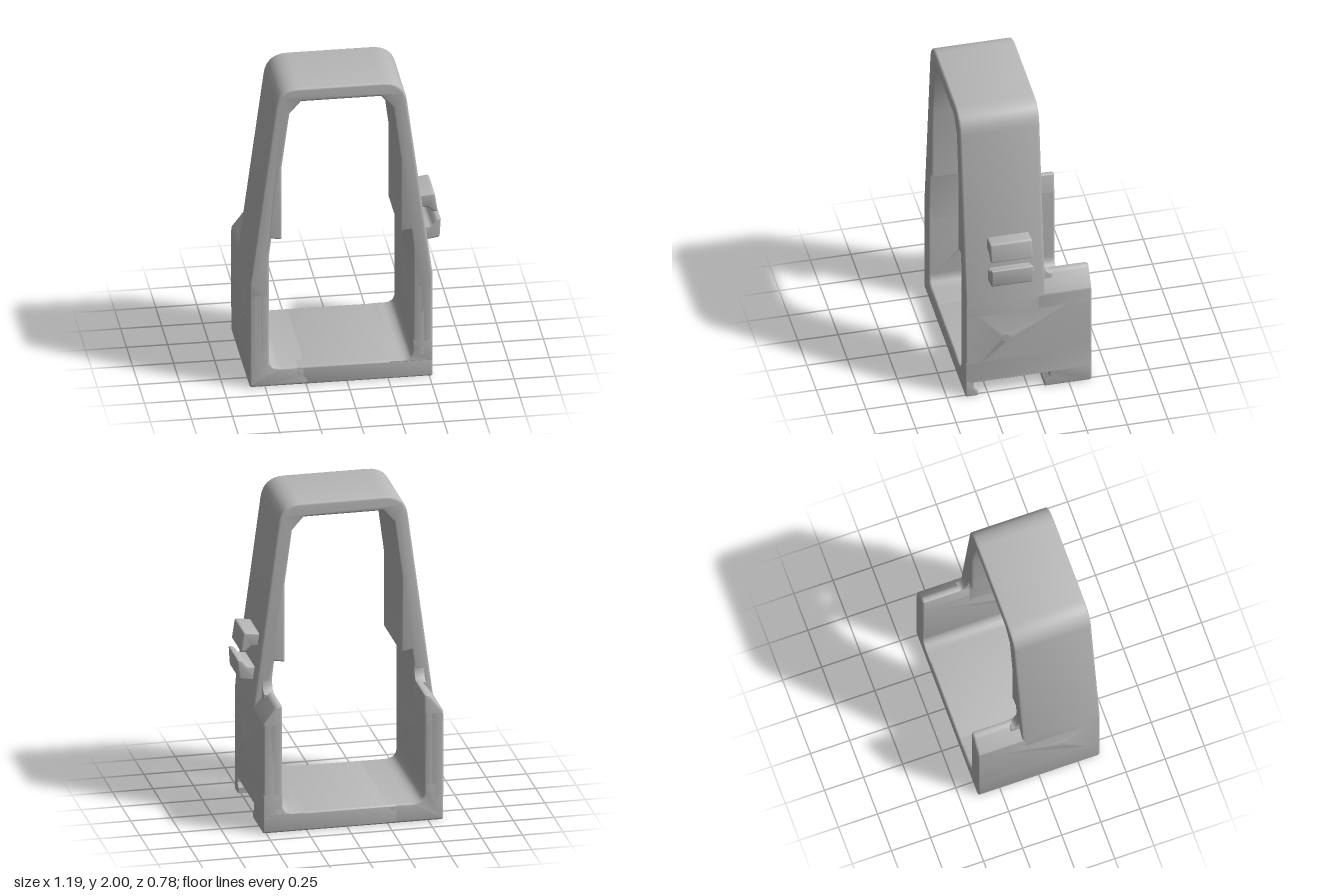
import * as THREE from 'three';
import { toCreasedNormals } from 'three/addons/utils/BufferGeometryUtils.js';

// Path through [a, b, radius] corners; a radius rounds that corner.
function trace(path, pts) {
  const n = pts.length;
  const toward = (p, q, r) => {
    const d = Math.hypot(q[0] - p[0], q[1] - p[1]);
    const t = Math.min(r / d, 0.49);
    return [p[0] + (q[0] - p[0]) * t, p[1] + (q[1] - p[1]) * t];
  };
  pts.forEach((p, i) => {
    const r = p[2] || 0;
    const start = r ? toward(p, pts[(i + n - 1) % n], r) : p;
    if (i === 0) path.moveTo(start[0], start[1]);
    else path.lineTo(start[0], start[1]);
    if (r) {
      const end = toward(p, pts[(i + 1) % n], r);
      path.quadraticCurveTo(p[0], p[1], end[0], end[1]);
    }
  });
  path.closePath();
  return path;
}

// Teardrop outline in (z, y), with its point toward the back.
function teardrop(r) {
  const pts = [];
  for (let i = 0; i <= 18; i++) {
    const a = -0.72 * Math.PI + (i / 18) * 1.44 * Math.PI;
    pts.push([0.14 + r * Math.cos(a), 0.41 + r * Math.sin(a)]);
  }
  pts.push([0.14 - r * 1.4, 0.41]);
  return pts;
}

export function createModel() {
  const group = new THREE.Group();
  group.position.x = -0.0375;
  const model = new THREE.Group();
  model.add(group);
  const grey = new THREE.MeshStandardMaterial({ color: 0xb8b8b8 });
  grey.name = 'grey plastic';

  // Soft-edged slab from a to b; outline is (x, y) along z, or (z, y) along x.
  function slab(name, pts, axis, a, b, bevel = 0.014, hole = null) {
    const map = (list) => (axis === 'x' ? list.map(([z, y, r]) => [-z, y, r]) : list);
    const shape = trace(new THREE.Shape(), map(pts));
    if (hole) shape.holes.push(trace(new THREE.Path(), map(hole)));
    let geo = new THREE.ExtrudeGeometry(shape, {
      depth: b - a - 2 * bevel, curveSegments: 8, bevelEnabled: true,
      bevelSize: bevel, bevelThickness: bevel, bevelOffset: -bevel, bevelSegments: 3,
    });
    geo.translate(0, 0, a + bevel);
    if (axis === 'x') geo.rotateY(Math.PI / 2);
    geo = toCreasedNormals(geo, 0.6);
    const mesh = new THREE.Mesh(geo, grey);
    mesh.name = name;
    group.add(mesh);
  }

  // Tapered upper arch, mirrored from its left half
  const half = [
    [0.4375, 0.6], [0.4375, 0.87], [0.4225, 0.995], [0.36, 0.985], [0.36, 1.47],
    [0.313, 1.83], [0.243, 1.91],
  ];
  const outer = [[0.385, 2, 0.13], [0.557, 0.7], [0.557, 0.6]];
  const flip = (pts) => pts.map(([x, y, r]) => [-x, y, r]);
  slab('upperArch', [
    ...half, ...flip(half).reverse(), ...flip(outer).reverse(), ...outer,
  ], 'z', -0.105, 0.39);

  for (const s of [1, -1]) {
    const side = s > 0 ? 'left' : 'right';
    const span = (a, b) => (s > 0 ? [a, b] : [-b, -a]);

    // Side wall in two layers, giving a recessed through hole
    const wall = [[-0.39, 0.15], [0.39, 0.15], [0.39, 0.69], [-0.39, 0.69]];
    slab(side + 'WallOuter', wall, 'x', ...span(0.477, 0.557), 0.012, teardrop(0.036));
    slab(side + 'WallInner', wall, 'x', ...span(0.4375, 0.517), 0.012, teardrop(0.02));

    // Low rear shoulder with a sloped outer face
    slab(side + 'RearShoulder', [
      [0.4375, 0.6], [0.557, 0.6], [0.557, 0.7, 0.01], [0.472, 0.813, 0.02], [0.4375, 0.813, 0.01],
    ].map(([x, y, r]) => [s * x, y, r]), 'z', -0.39, -0.05);

    // Curved blend between the shoulder and the arch
    const blend = [[-0.06, 0.76], [-0.16, 0.76], [-0.16, 0.805]];
    for (let i = 0; i <= 6; i++) {
      const a = (i / 6) * Math.PI / 2;
      blend.push([-0.155 + 0.052 * Math.sin(a), 0.9 - 0.09 * Math.cos(a)]);
    }
    blend.push([-0.06, 0.9]);
    slab(side + 'ShoulderBlend', blend, 'x', ...span(0.438, 0.5), 0.003);
  }

  // Base: solid half with the stepped end of the bottom slot
  slab('baseSolidEnd', [
    [-0.557, 0, 0.02], [-0.19, 0], [-0.19, 0.035], [-0.215, 0.065], [-0.215, 0.12],
    [-0.4375, 0.12, 0.08], [-0.4375, 0.25], [-0.557, 0.25],
  ], 'z', -0.39, 0.39);

  // Base: slotted half, open at the left side
  slab('baseSlottedEnd', [
    [-0.39, 0, 0.015], [-0.1, 0], [-0.1, 0.035], [-0.13, 0.065], [-0.13, 0.1],
    [0.335, 0.1], [0.335, 0.065], [0.31, 0.035], [0.31, 0], [0.39, 0, 0.015],
    [0.39, 0.12, 0.015], [-0.39, 0.12, 0.015],
  ], 'x', -0.27, 0.557, 0.008);
  slab('leftBaseCorner', [
    [0.3, 0.105], [0.557, 0.105], [0.557, 0.25], [0.4375, 0.25], [0.4375, 0.12, 0.08], [0.3, 0.12],
  ], 'z', -0.39, 0.39, 0.007);

  // Pair of clip jaws on the left side
  slab('upperClipJaw', [
    [0.475, 1.145], [0.592, 1.16, 0.015], [0.61, 1.033, 0.01], [0.582, 1.035, 0.01],
    [0.552, 1.066, 0.015], [0.485, 1.066],
  ], 'z', -0.015, 0.245, 0.01);
  slab('lowerClipJaw', [
    [0.505, 0.843], [0.622, 0.86, 0.015], [0.63, 0.985, 0.01], [0.6, 0.98, 0.01],
    [0.57, 0.94, 0.015], [0.495, 0.935],
  ], 'z', -0.015, 0.245, 0.01);

  return model;
}
